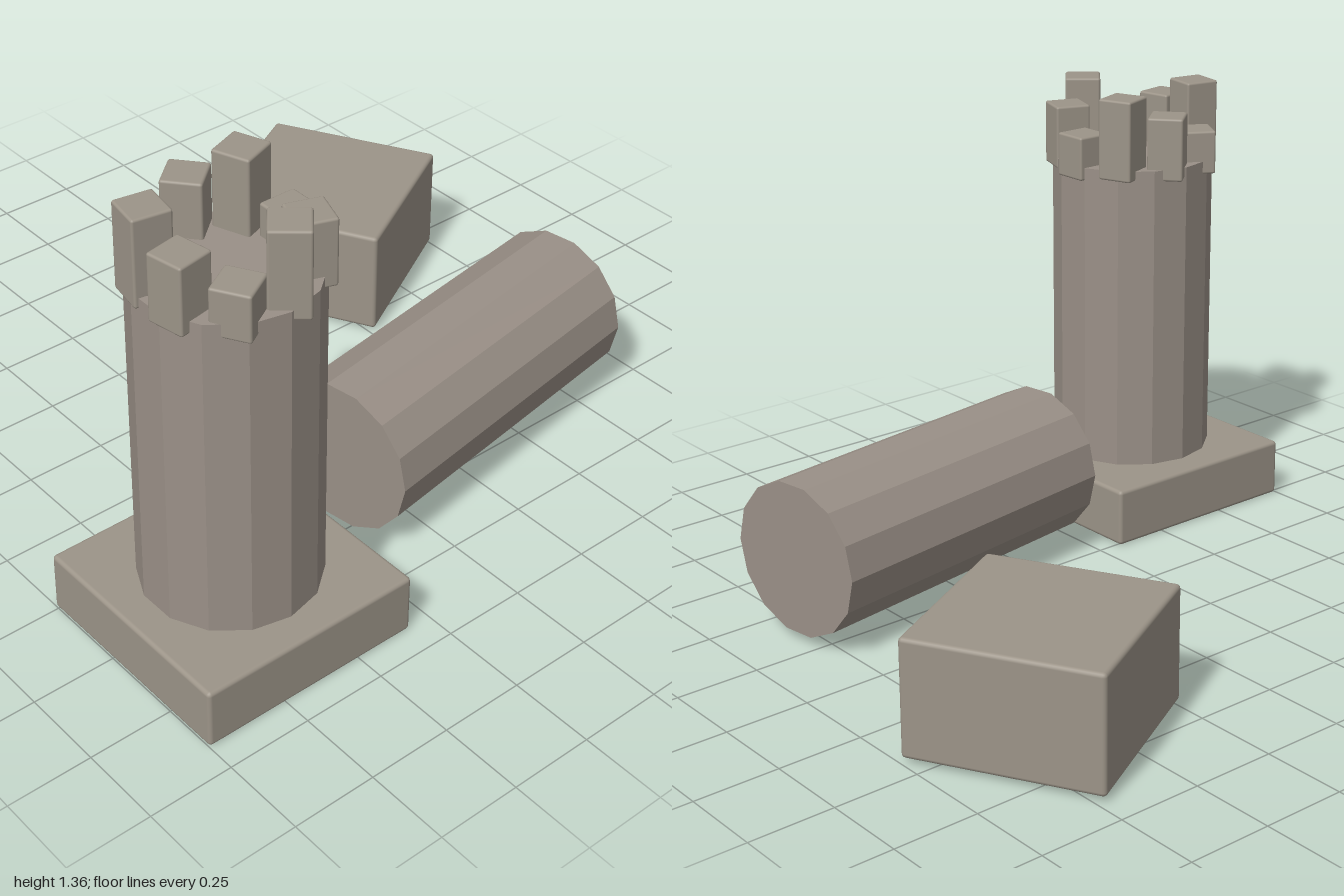
import * as THREE from 'three';
import { RoundedBoxGeometry } from 'three/addons/geometries/RoundedBoxGeometry.js';

const blockStone = new THREE.MeshStandardMaterial({ color: 0x9c9488 });
const shaftStone = new THREE.MeshStandardMaterial({ color: 0x9a9087, flatShading: true });

// Softly bevelled stone block standing on height y
function block(name, w, h, x, y, z, turn = 0, bevel = 0.012) {
  const mesh = new THREE.Mesh(new RoundedBoxGeometry(w, h, w, 2, bevel), blockStone);
  mesh.name = name;
  mesh.position.set(x, y + h / 2, z);
  mesh.rotation.y = turn;
  return mesh;
}

// Fourteen-sided column drum
function drum(name, radius, length) {
  const mesh = new THREE.Mesh(new THREE.CylinderGeometry(radius, radius, length, 14), shaftStone);
  mesh.name = name;
  return mesh;
}

export function createModel() {
  const ruin = new THREE.Group();
  ruin.name = 'ruinedColumns';

  // Standing broken column on its plinth
  const standing = new THREE.Group();
  standing.name = 'standingColumn';
  standing.position.set(-0.66, 0, 0.575);
  standing.add(block('plinth', 0.68, 0.18, 0, 0, 0));
  const shaft = drum('shaft', 0.251, 0.98);
  shaft.position.y = 0.65;
  standing.add(shaft);

  // Ring of jagged stones on the broken top, in three repeating heights
  const tops = [1.235, 1.36, 1.3];
  const bottoms = [1.1, 1.11, 1.105];
  for (let i = 0; i < 9; i++) {
    const a = (i / 9) * Math.PI * 2;
    const y = bottoms[i % 3];
    standing.add(block('brokenStone' + (i + 1), 0.11, tops[i % 3] - y,
      Math.cos(a) * 0.204, y, -Math.sin(a) * 0.204, a / 2, 0.007));
  }
  ruin.add(standing);

  // Fallen drum lying on its side
  const fallen = new THREE.Group();
  fallen.name = 'fallenColumn';
  fallen.position.set(0.31, 0.255, 0.4);
  fallen.rotation.y = 0.157;
  const lying = drum('fallenDrum', 0.231, 1.022);
  lying.rotation.z = Math.PI / 2;
  fallen.add(lying);
  ruin.add(fallen);

  // Loose block behind
  ruin.add(block('looseBlock', 0.56, 0.34, 0.62, 0.015, -0.54, 0.5));
  return ruin;
}
